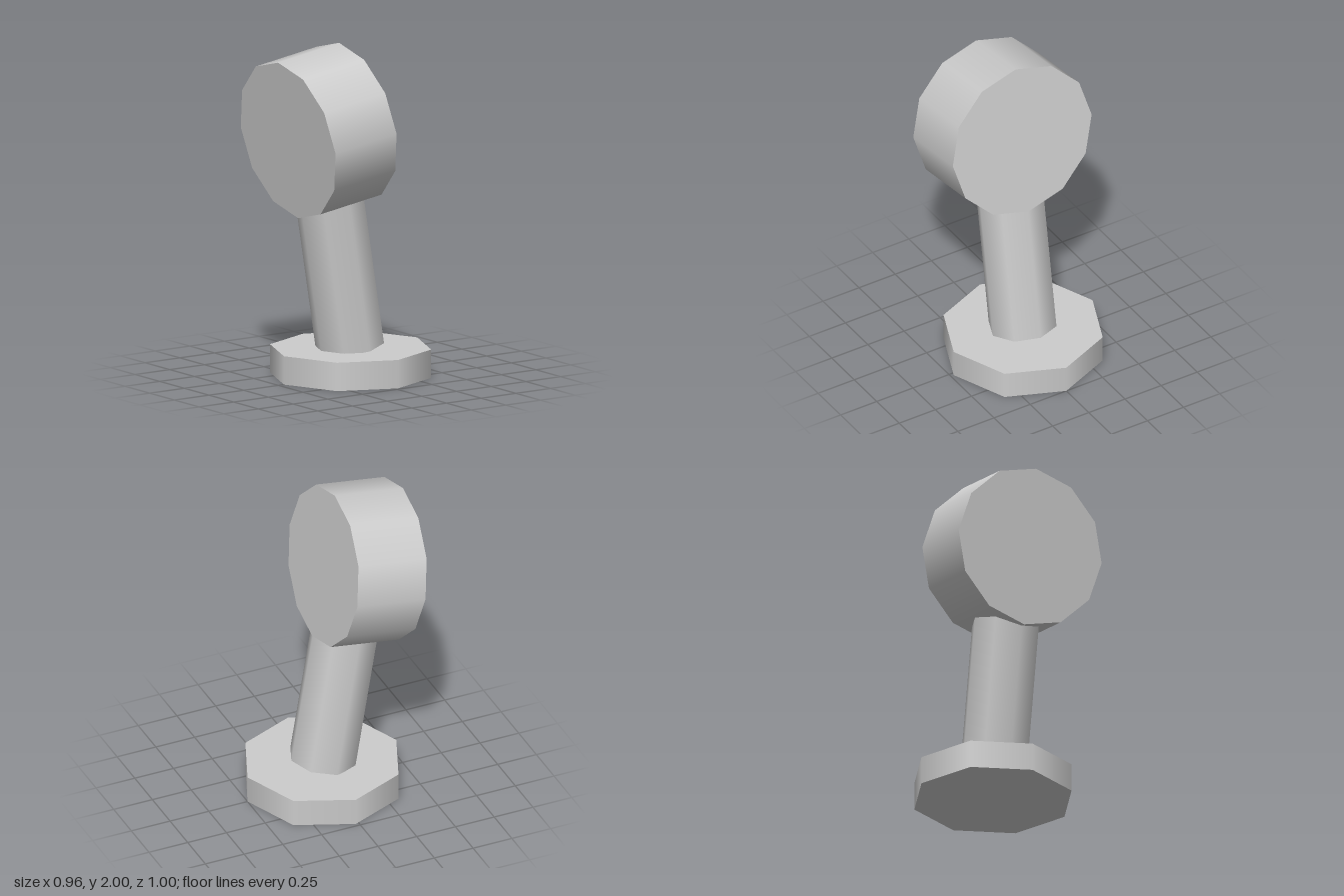
import * as THREE from 'three';

export function createModel() {
  const model = new THREE.Group();
  model.name = 'standWithDrumHead';
  const grey = new THREE.MeshStandardMaterial({ color: 0xcccccc });
  grey.name = 'light grey';

  // A capped prism with smooth sides, turned about x by a tilt in degrees
  function addCylinder(name, radius, length, sides, y, z, tilt) {
    const mesh = new THREE.Mesh(new THREE.CylinderGeometry(radius, radius, length, sides), grey);
    mesh.name = name;
    mesh.position.set(0, y, z);
    mesh.rotation.x = THREE.MathUtils.degToRad(tilt);
    model.add(mesh);
  }

  // Flat octagonal foot
  addCylinder('base', 0.48, 0.17, 8, 0.085, -0.02, 0);

  // Post leaning forward, its top sunk into the head
  addCylinder('stem', 0.205, 1.0, 8, 0.67, 0.066, 9.3);

  // Twelve-sided drum facing forward and slightly down
  addCylinder('head', 0.48, 0.445, 12, 1.493, 0.21, 98.7);

  return model;
}
